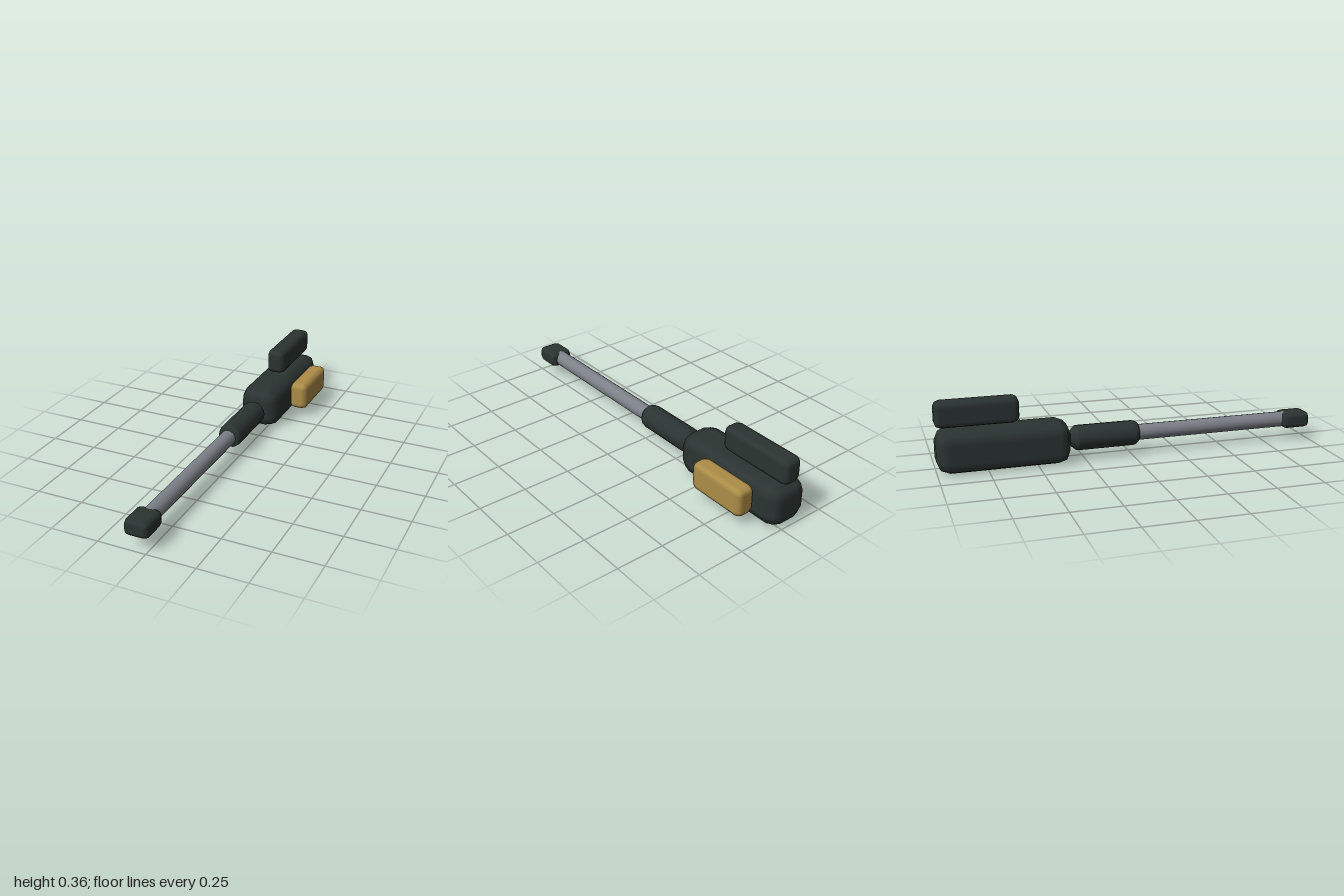
import * as THREE from 'three';
import { RoundedBoxGeometry } from 'three/addons/geometries/RoundedBoxGeometry.js';

const material = (name, color) => {
  const m = new THREE.MeshStandardMaterial({ color });
  m.name = name;
  return m;
};

export function createModel() {
  const group = new THREE.Group();
  const dark = material('dark green grey', 0x2b3432);
  const steel = material('steel grey', 0x7c8088);
  const brass = material('brass', 0xad8d48);

  const add = (name, geometry, mat, x, y, z) => {
    const mesh = new THREE.Mesh(geometry, mat);
    mesh.name = name;
    mesh.position.set(x, y, z);
    group.add(mesh);
  };

  // Softly bevelled block given by its extents on each axis
  const block = (name, mat, [x0, x1], [y0, y1], [z0, z1], radius) =>
    add(name, new RoundedBoxGeometry(x1 - x0, y1 - y0, z1 - z0, 1, radius), mat,
      (x0 + x1) / 2, (y0 + y1) / 2, (z0 + z1) / 2);

  block('body', dark, [-0.16, 0.058], [0.001, 0.218], [-1, -0.332], 0.064);
  block('topRail', dark, [-0.102, 0], [0.228, 0.361], [-1, -0.583], 0.03);
  block('sideBox', brass, [0.058, 0.158], [0.052, 0.202], [-0.875, -0.543], 0.03);
  block('muzzle', dark, [-0.115, 0.012], [0.069, 0.153], [0.848, 1], 0.025);

  // Sleeve turned about the barrel axis, tapered at both ends
  const profile = [[0, -0.36], [0.03, -0.335], [0.064, -0.295], [0.065, -0.285],
    [0.065, 0.005], [0.061, 0.022], [0.05, 0.035], [0, 0.037]]
    .map(([r, z]) => new THREE.Vector2(r, z));
  add('sleeve', new THREE.LatheGeometry(profile, 16).rotateX(Math.PI / 2), dark, -0.051, 0.112, 0);

  // Barrel running from the sleeve into the muzzle
  add('barrel', new THREE.CylinderGeometry(0.041, 0.041, 0.88, 16).rotateX(Math.PI / 2), steel, -0.051, 0.112, 0.44);

  return group;
}
